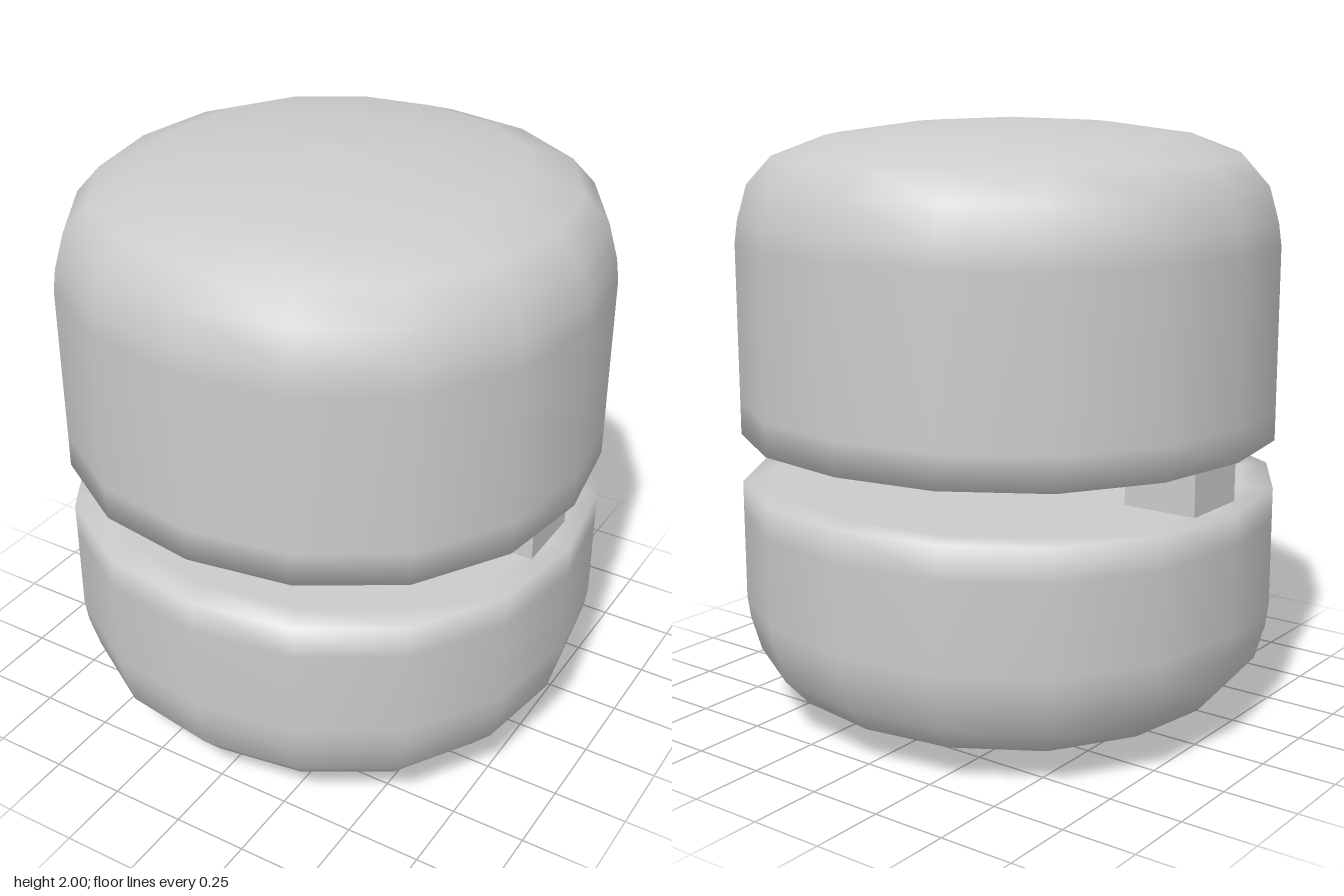
import * as THREE from 'three';

const material = new THREE.MeshStandardMaterial({ color: 0xcccccc });

// Domed profile: [radius, drop below the crown]
const dome = [[0, 0], [0.31, 0.015], [0.59, 0.055], [0.757, 0.12], [0.836, 0.21], [0.868, 0.325], [0.878, 0.4]];

// Closed 16-sided drum with a soft dome on top (crown at y = 0) and a flat underside
function makeDrum(name, height) {
  const profile = [
    ...dome,
    [0.878, height - 0.11],
    [0.878, height],
    [0.78, height],
    [0, height],
  ].map(([r, drop]) => new THREE.Vector2(r, -drop)).reverse();
  const geometry = new THREE.LatheGeometry(profile, 16);

  // Push the diagonals out a little, so the outline is slightly squared
  const pos = geometry.attributes.position;
  for (let i = 0; i < pos.count; i++) {
    const x = pos.getX(i), z = pos.getZ(i);
    const k = 1 + 0.0155 * (1 - Math.cos(4 * Math.atan2(z, x)));
    pos.setXYZ(i, x * k, pos.getY(i), z * k);
  }
  const mesh = new THREE.Mesh(geometry, material);
  mesh.name = name;
  return mesh;
}

export function createModel() {
  const model = new THREE.Group();
  model.name = 'splitDrum';

  // Upper drum, dome up
  const upper = makeDrum('upperDrum', 1.035);
  upper.position.y = 2;
  model.add(upper);

  // Lower drum, the same form turned dome down
  const lower = makeDrum('lowerDrum', 0.803);
  lower.rotation.x = Math.PI;
  model.add(lower);

  // Square posts bridging the gap on both sides
  for (const [side, name] of [[1, 'leftPost'], [-1, 'rightPost']]) {
    const post = new THREE.Mesh(new THREE.BoxGeometry(0.255, 0.2, 0.25), material);
    post.name = name;
    post.position.set(side * 0.6725, 0.884, 0);
    model.add(post);
  }
  return model;
}
